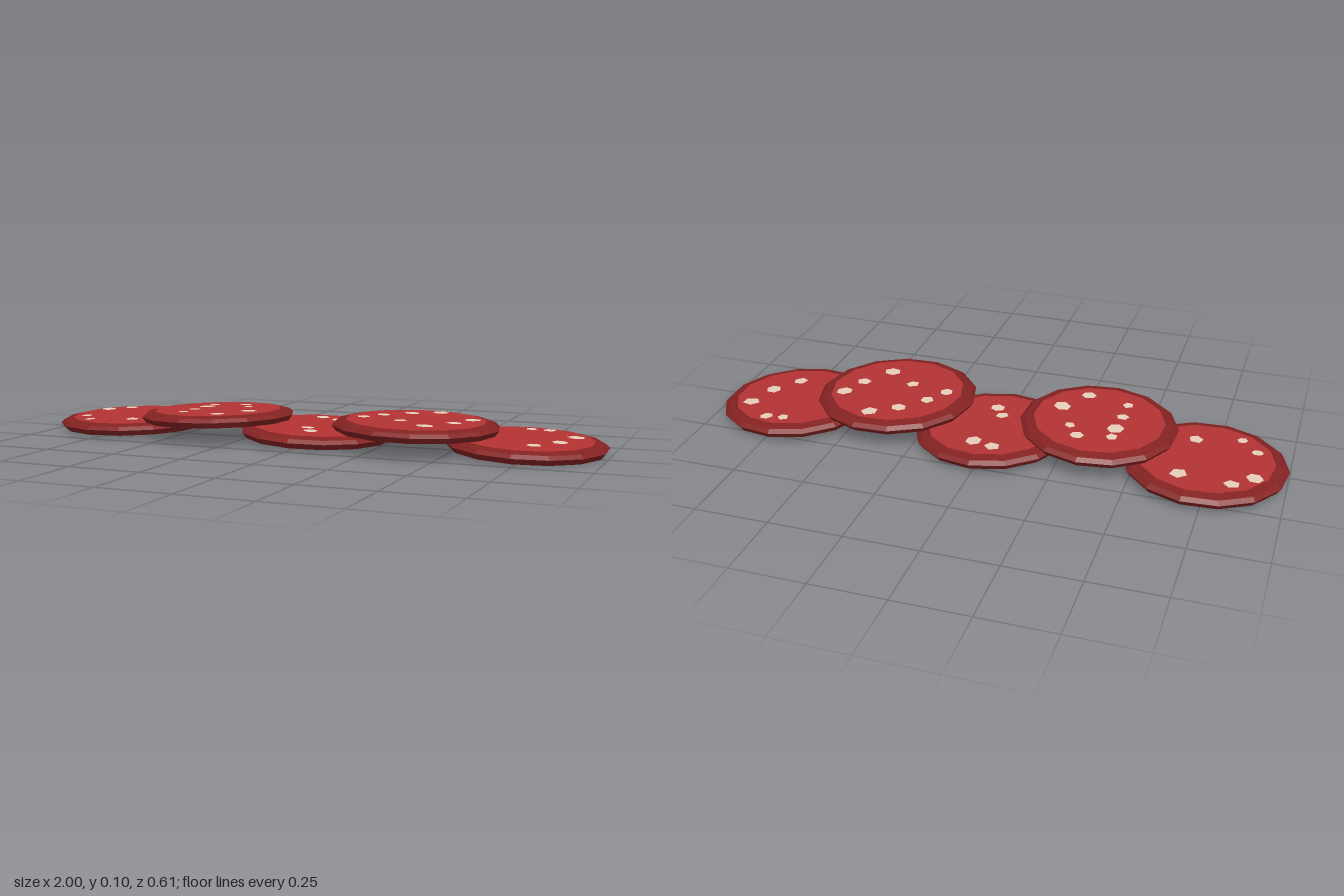
import * as THREE from 'three';

const SIDES = 14;
const HALF = 0.019; // half thickness

const mat = (name, color) => new THREE.MeshStandardMaterial({ name, color, flatShading: true });

// Each slice: centre, radius, angle of one corner (degrees), tilts, and fat spots as [x, z, radius]
const SLICES = [
  { pos: [-0.73, 0.036, -0.038], r: 0.273, corner: -82, tilt: [0.02, 0.011],
    spots: [[-0.835, -0.185, 0.025], [-0.9, -0.125, 0.028], [-0.663, -0.172, 0.029],
      [-0.888, 0.046, 0.019], [-0.68, 0.073, 0.025], [-0.83, 0.115, 0.018]] },
  { pos: [-0.355, 0.083, 0.028], r: 0.269, corner: -87, tilt: [-0.008, 0.022],
    spots: [[-0.422, -0.077, 0.02], [-0.31, -0.104, 0.022], [-0.272, -0.046, 0.018], [-0.422, -0.02, 0.029],
      [-0.428, 0.066, 0.021], [-0.214, 0.073, 0.029], [-0.428, 0.152, 0.019], [-0.283, 0.178, 0.024]] },
  { pos: [0.002, 0.036, -0.031], r: 0.27, corner: -90, tilt: [0.02, -0.034],
    spots: [[-0.045, -0.19, 0.026], [0.027, -0.168, 0.028], [-0.01, 0.035, 0.022], [0.022, 0.088, 0.025]] },
  { pos: [0.376, 0.083, 0.028], r: 0.28, corner: -78, tilt: [0.005, -0.018],
    spots: [[0.406, -0.158, 0.028], [0.32, -0.104, 0.025], [0.245, -0.024, 0.024], [0.55, -0.04, 0.027],
      [0.513, 0.05, 0.025], [0.2, 0.05, 0.023], [0.337, 0.077, 0.022], [0.444, 0.152, 0.028]] },
  { pos: [0.732, 0.032, -0.038], r: 0.267, corner: -92, tilt: [0.023, -0.033],
    spots: [[0.71, -0.21, 0.02], [0.77, -0.216, 0.022], [0.876, -0.125, 0.029],
      [0.845, -0.013, 0.027], [0.78, 0.077, 0.025]] },
];

// Flat polygon facing up (1) or down (-1) at height y
function disc(radius, sides, angle, facing, y, material, name) {
  const geo = new THREE.CircleGeometry(radius, sides, -facing * angle);
  geo.rotateX(-facing * Math.PI / 2);
  const mesh = new THREE.Mesh(geo, material);
  mesh.position.y = y;
  mesh.name = name;
  return mesh;
}

export function createModel() {
  const rimMat = mat('dark red rind', 0x842222);
  const meatMat = mat('red meat', 0xb43333);
  const fatMat = mat('pale fat', 0xe8d0bc);
  const model = new THREE.Group();
  model.name = 'sausageSlices';

  SLICES.forEach(({ pos, r, corner, tilt, spots }, i) => {
    const slice = new THREE.Group();
    slice.name = `slice${i + 1}`;
    const angle = THREE.MathUtils.degToRad(corner);
    const topR = r - 0.046;
    const bottomR = r - 0.014;

    // Rind: bevelled edge and the border around the top
    const profile = [[bottomR, -HALF], [r, 0], [r - 0.014, 0.012], [topR, HALF]]
      .map(([x, y]) => new THREE.Vector2(x, y));
    const rind = new THREE.Mesh(new THREE.LatheGeometry(profile, SIDES, Math.PI / 2 - angle), rimMat);
    rind.name = 'rind';

    // Cut faces above and below
    slice.add(
      rind,
      disc(topR, SIDES, angle, 1, HALF, meatMat, 'cutFace'),
      disc(bottomR, SIDES, angle, -1, -HALF, meatMat, 'underside'),
    );

    // Fat spots lying on the upper cut face
    spots.forEach(([x, z, size], j) => {
      const spot = disc(size * 1.1, 5 + (j % 2), 0, 1, HALF + 0.0015, fatMat, 'fatSpot');
      spot.position.x = x - pos[0];
      spot.position.z = z - pos[2];
      spot.rotation.y = i * 1.3 + j * 2.1;
      spot.scale.z = 0.9;
      slice.add(spot);
    });

    slice.position.set(...pos);
    slice.rotation.set(tilt[0], 0, tilt[1]);
    model.add(slice);
  });
  return model;
}
